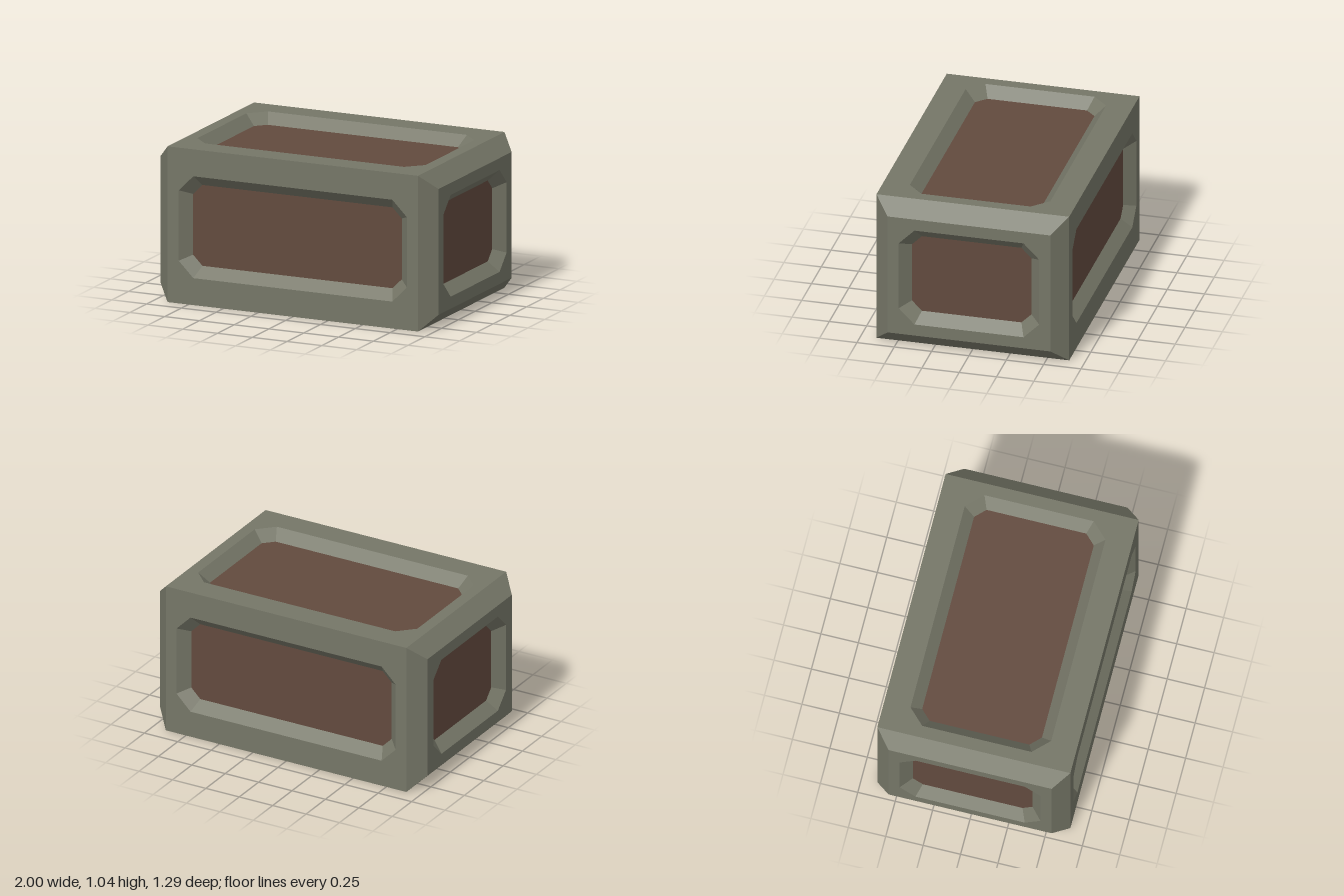
import * as THREE from 'three';

const L = 2, H = 1.04, W = 1.29; // overall size along x, y, z
const BEVEL = 0.1;               // chamfer around both ends
const DEPTH = 0.07;              // how far the panels are sunk

const frameMat = new THREE.MeshStandardMaterial({ color: 0x757667, flatShading: true });
const panelMat = new THREE.MeshStandardMaterial({ color: 0x624a3e, flatShading: true });

// Counter-clockwise rectangle of half size a x b, corners cut by c
function ring(a, b, c = 0) {
  const pts = c
    ? [[-a + c, -b], [a - c, -b], [a, -b + c], [a, b - c], [a - c, b], [-a + c, b], [-a, b - c], [-a, -b + c]]
    : [[-a, -b], [a, -b], [a, b], [-a, b]];
  return pts.map(([x, y]) => new THREE.Vector2(x, y));
}

// Sloping band from an outer ring at z0 to an inner ring at z1
function band(outer, z0, inner, z1) {
  const pos = [];
  outer.forEach((a, i) => {
    const j = (i + 1) % outer.length;
    const A = [a.x, a.y, z0], B = [outer[j].x, outer[j].y, z0];
    const C = [inner[j].x, inner[j].y, z1], D = [inner[i].x, inner[i].y, z1];
    pos.push(...A, ...B, ...C, ...A, ...C, ...D);
  });
  const geo = new THREE.BufferGeometry();
  geo.setAttribute('position', new THREE.Float32BufferAttribute(pos, 3));
  geo.computeVertexNormals();
  return geo;
}

function addMesh(parent, name, geo, mat) {
  const mesh = new THREE.Mesh(geo, mat);
  mesh.name = name;
  parent.add(mesh);
  return mesh;
}

// One crate side facing local +z: frame, sloped recess and sunken panel
function side(name, halfW, halfH, openW, openH) {
  const group = new THREE.Group();
  group.name = name;
  const outer = ring(openW, openH, 0.105);
  const inner = ring(openW - DEPTH, openH - DEPTH, 0.067);
  const frame = new THREE.Shape(ring(halfW, halfH));
  frame.holes.push(new THREE.Path(outer));
  addMesh(group, name + 'Frame', new THREE.ShapeGeometry(frame), frameMat);
  addMesh(group, name + 'Recess', band(outer, 0, inner, -DEPTH), frameMat);
  const panel = new THREE.ShapeGeometry(new THREE.Shape(inner));
  addMesh(group, name + 'Panel', panel, panelMat).position.z = -DEPTH;
  return group;
}

export function createModel() {
  const crate = new THREE.Group();
  crate.name = 'crate';
  const openX = 0.82, openY = 0.34, openZ = 0.47;
  const longHalf = L / 2 - BEVEL;

  // Long sides
  ['front', 'back'].forEach((name, i) => {
    const s = side(name, longHalf, H / 2, openX, openY);
    s.position.set(0, H / 2, (i ? -1 : 1) * W / 2);
    s.rotation.y = i * Math.PI;
    crate.add(s);
  });

  // Top and bottom
  ['top', 'bottom'].forEach((name, i) => {
    const s = side(name, longHalf, W / 2, openX, openZ);
    s.position.y = i ? 0 : H;
    s.rotation.x = (i ? 1 : -1) * Math.PI / 2;
    crate.add(s);
  });

  // Chamfered ends
  ['leftEnd', 'rightEnd'].forEach((name, i) => {
    const s = side(name, W / 2 - BEVEL, H / 2 - BEVEL, openZ, openY);
    const chamfer = band(ring(W / 2, H / 2), -BEVEL, ring(W / 2 - BEVEL, H / 2 - BEVEL), 0);
    addMesh(s, name + 'Chamfer', chamfer, frameMat);
    s.position.set((i ? -1 : 1) * L / 2, H / 2, 0);
    s.rotation.y = (i ? -1 : 1) * Math.PI / 2;
    crate.add(s);
  });

  return crate;
}
